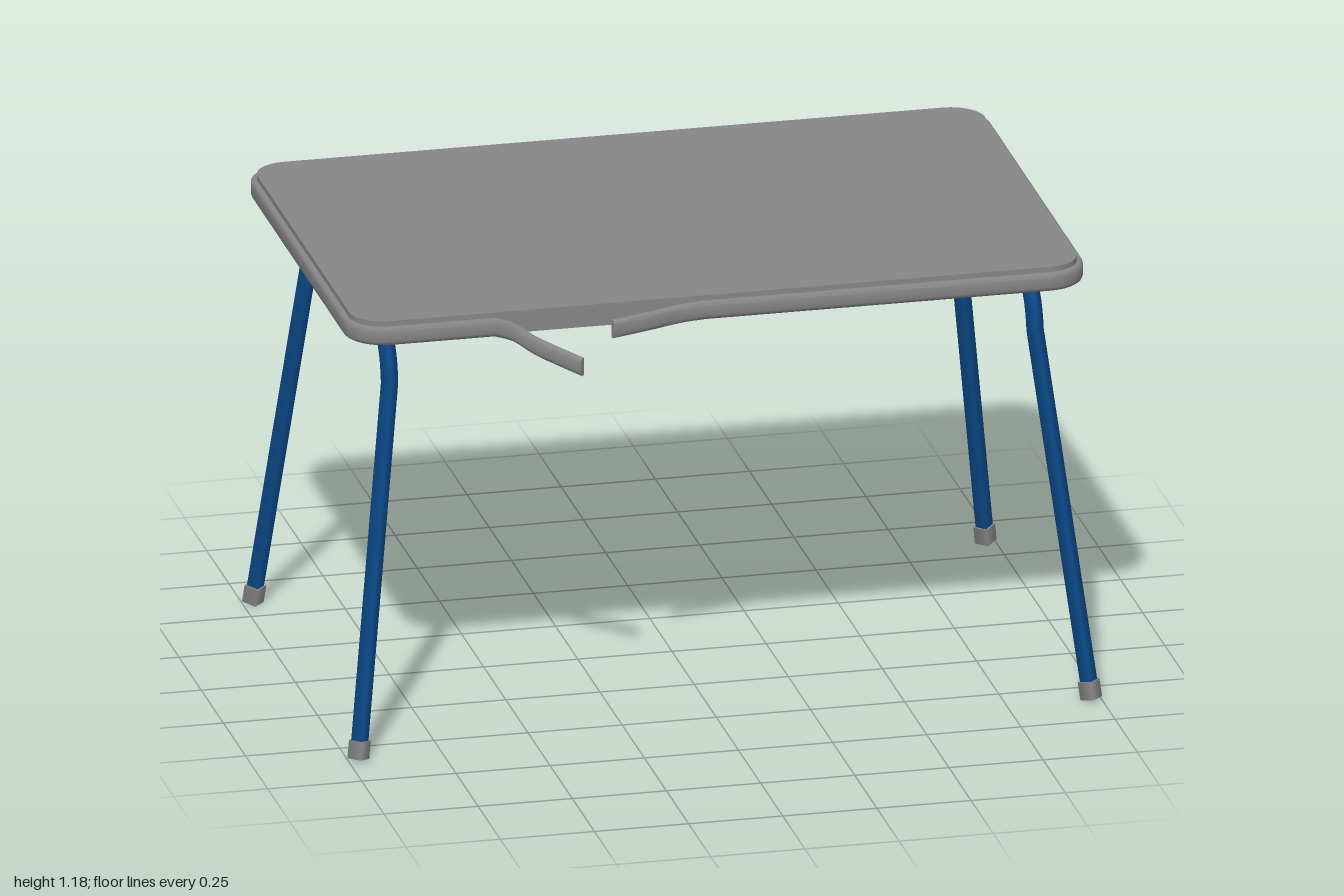
import * as THREE from 'three';
import { toCreasedNormals } from 'three/addons/utils/BufferGeometryUtils.js';

const grey = new THREE.MeshStandardMaterial({ color: 0x868686 });
const greyThin = new THREE.MeshStandardMaterial({ color: 0x868686, side: THREE.DoubleSide });
const blue = new THREE.MeshStandardMaterial({ color: 0x0b4a8a });

const V = (x, y, z) => new THREE.Vector3(x, y, z);

// Board outline
const HX = 0.965, Z0 = -0.663, Z1 = 0.547, R = 0.09;
const BOTTOM = 1.125, TOP = 1.185, BAND_Y = 1.147;

function add(parent, name, geometry, material) {
  const mesh = new THREE.Mesh(geometry, material);
  mesh.name = name;
  parent.add(mesh);
  return mesh;
}

// Rounded slab
function boardGeometry() {
  const s = new THREE.Shape();
  const a = -Z1, b = -Z0; // shape y becomes -z
  s.absarc(HX - R, a + R, R, -Math.PI / 2, 0, false);
  s.absarc(HX - R, b - R, R, 0, Math.PI / 2, false);
  s.absarc(-HX + R, b - R, R, Math.PI / 2, Math.PI, false);
  s.absarc(-HX + R, a + R, R, Math.PI, Math.PI * 1.5, false);
  const g = new THREE.ExtrudeGeometry(s, { depth: TOP - BOTTOM, bevelEnabled: false, curveSegments: 10 });
  g.rotateX(-Math.PI / 2).translate(0, BOTTOM, 0);
  return toCreasedNormals(g, 0.6);
}

// Path of the edging: loose tail, round the board, second loose tail
function bandPath() {
  const tailA = new THREE.CatmullRomCurve3([
    V(-0.30, 1.132, 0.592), V(-0.20, 1.138, 0.572), V(-0.10, 1.145, 0.552), V(-0.04, BAND_Y, Z1)]);
  const tailB = new THREE.CatmullRomCurve3([
    V(-0.60, BAND_Y, Z1), V(-0.55, 1.131, 0.554), V(-0.50, 1.101, 0.582),
    V(-0.44, 1.077, 0.622), V(-0.39, 1.061, 0.664)]);
  const pts = tailA.getPoints(10);
  const corners = [[HX - R, Z1 - R], [HX - R, Z0 + R], [-HX + R, Z0 + R], [-HX + R, Z1 - R]];
  corners.forEach(([cx, cz], k) => {
    for (let i = 0; i <= 10; i++) {
      const t = (k - 1 + i / 10) * Math.PI / 2;
      pts.push(V(cx + R * Math.cos(t), BAND_Y, cz - R * Math.sin(t)));
    }
  });
  return pts.concat(tailB.getPoints(16));
}

// Edging strip: a rounded cross-section swept along the path
function bandGeometry() {
  const profile = [[0, -0.023], [0.007, -0.025], [0.013, -0.021], [0.016, -0.013],
    [0.016, 0.015], [0.014, 0.021], [0.009, 0.024], [0, 0.024]];
  const n = profile.length, path = bandPath(), pos = [], index = [];
  path.forEach((p, j) => {
    const t = path[Math.min(j + 1, path.length - 1)].clone().sub(path[Math.max(j - 1, 0)]);
    t.y = 0;
    t.normalize();
    for (const [o, h] of profile) pos.push(p.x - t.z * o, p.y + h, p.z + t.x * o);
    if (j === 0) return;
    for (let i = 0; i < n; i++) {
      const i2 = (i + 1) % n, a = (j - 1) * n + i, b = (j - 1) * n + i2, c = j * n + i, d = j * n + i2;
      index.push(a, c, d, a, d, b);
    }
  });
  const last = (path.length - 1) * n;
  for (let i = 1; i < n - 1; i++) index.push(0, i, i + 1, last, last + i + 1, last + i);
  const g = new THREE.BufferGeometry();
  g.setAttribute('position', new THREE.Float32BufferAttribute(pos, 3));
  g.setIndex(index);
  return toCreasedNormals(g, 0.8);
}

// One bent four-sided tube makes two legs and the rail between them
function legFrame(side) {
  const group = new THREE.Group();
  group.name = side > 0 ? 'leftLegFrame' : 'rightLegFrame';
  const foot = z => V(side * 0.97, 0.03, z * 0.592);
  const knee = z => V(side * 0.857, 0.98, z * 0.455);
  const bend = z => V(side * 0.856, 1.097, z * 0.438);
  const rail = z => V(side * 0.855, 1.097, z * 0.34);
  const curve = new THREE.CurvePath();
  curve.add(new THREE.LineCurve3(foot(1), knee(1)));
  curve.add(new THREE.QuadraticBezierCurve3(knee(1), bend(1), rail(1)));
  curve.add(new THREE.LineCurve3(rail(1), rail(-1)));
  curve.add(new THREE.QuadraticBezierCurve3(rail(-1), bend(-1), knee(-1)));
  curve.add(new THREE.LineCurve3(knee(-1), foot(-1)));
  add(group, 'legTube', new THREE.TubeGeometry(curve, 120, 0.023, 4), blue);

  for (const z of [1, -1]) {
    // Rubber foot in line with the leg
    const dir = knee(z).sub(foot(z)).normalize();
    const cap = add(group, 'footCap', new THREE.CylinderGeometry(0.029, 0.029, 0.048, 4), grey);
    cap.position.copy(foot(z)).addScaledVector(dir, -0.002);
    cap.quaternion.setFromUnitVectors(V(0, 1, 0), dir);

    // Bracket: clamp round the rail and a plate under the board
    const clamp = add(group, 'railClamp', new THREE.CylinderGeometry(0.027, 0.027, 0.046, 8), blue);
    clamp.rotation.x = Math.PI / 2;
    clamp.position.set(side * 0.855, 1.098, z * 0.23);
    const plate = add(group, 'bracketPlate', new THREE.BoxGeometry(0.15, 0.008, 0.046), blue);
    plate.position.set(side * 0.855, 1.121, z * 0.23);
  }
  return group;
}

export function createModel() {
  const model = new THREE.Group();
  model.name = 'table';

  add(model, 'tableTop', boardGeometry(), grey);
  add(model, 'peelingEdging', bandGeometry(), greyThin);

  for (const side of [1, -1]) model.add(legFrame(side));

  // Long bars joining the two leg frames
  for (const z of [1, -1]) {
    const bar = add(model, 'crossBar', new THREE.CylinderGeometry(0.018, 0.018, 1.71, 4), blue);
    bar.rotation.z = Math.PI / 2;
    bar.position.set(0, 1.105, z * 0.23);
  }
  return model;
}
